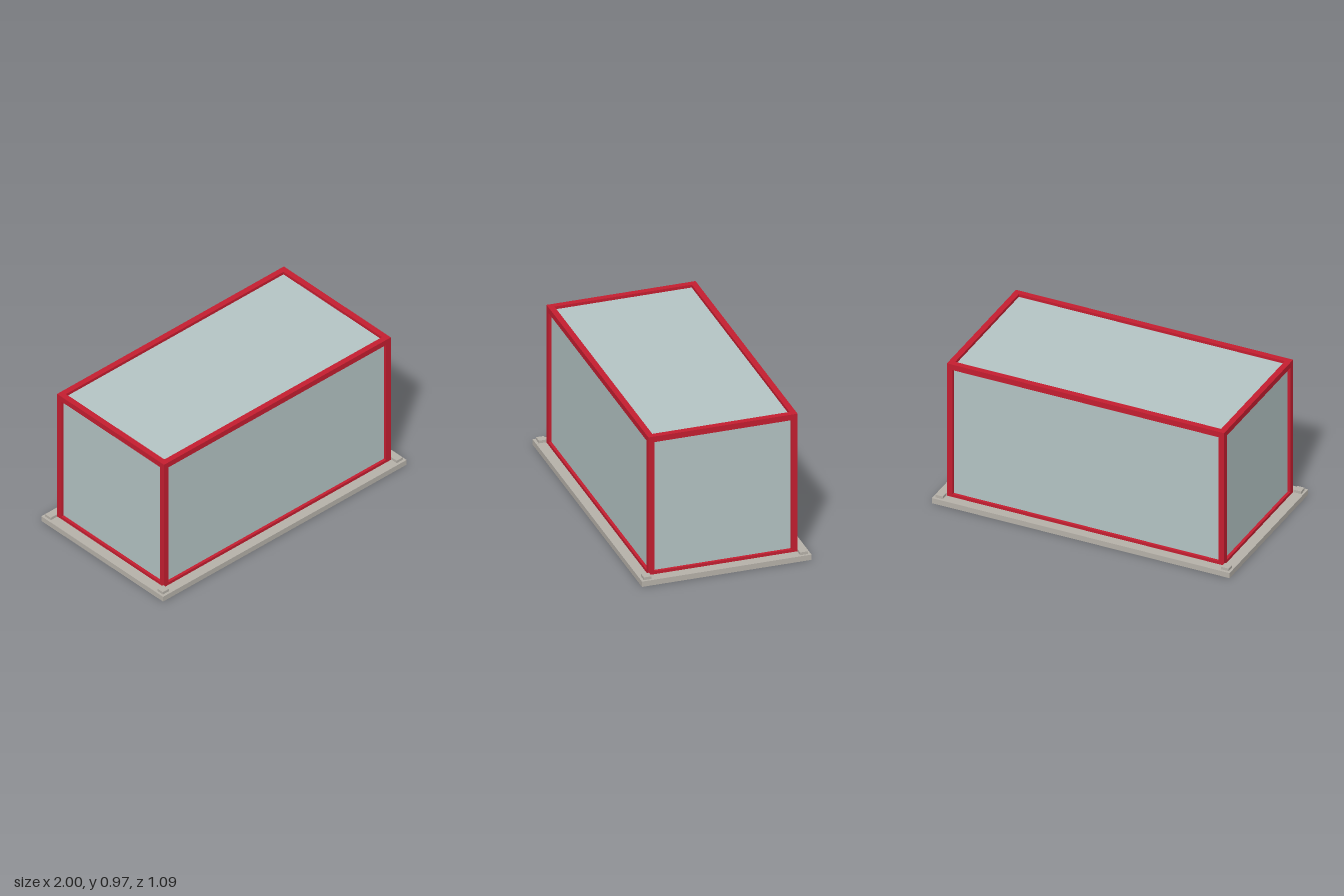
import * as THREE from 'three';

export function createModel() {
  const model = new THREE.Group();
  model.name = 'framedCase';

  const red = new THREE.MeshStandardMaterial({ name: 'red frame', color: 0xc41e30 });
  const panel = new THREE.MeshStandardMaterial({ name: 'pale grey green panel', color: 0xb4c4c4 });
  const stone = new THREE.MeshStandardMaterial({ name: 'warm grey base', color: 0xb6b1a9 });

  const box = (name, material, [w, h, d], [x, y, z], parent = model) => {
    const mesh = new THREE.Mesh(new THREE.BoxGeometry(w, h, d), material);
    mesh.name = name;
    mesh.position.set(x, y, z);
    parent.add(mesh);
  };

  // Key dimensions: beams are centred on the edges of the panelled body
  const X = 0.912, Z = 0.458, bottom = 0.036, top = 0.951, beam = 0.038;
  const middle = (bottom + top) / 2;

  // Base slab
  box('baseSlab', stone, [2, 0.036, 1.085], [0, 0.018, 0]);

  // Panelled body, recessed half a beam behind the frame
  box('panelBody', panel, [2 * X, top - bottom, 2 * Z], [0, middle, 0]);

  // Frame and base corner blocks
  const frame = new THREE.Group();
  frame.name = 'frame';
  model.add(frame);
  for (const s of [-1, 1]) {
    for (const t of [-1, 1]) {
      // Corner posts fit between the upper and lower rails
      box('cornerPost', red, [beam, top - bottom - beam, beam], [s * X, middle, t * Z], frame);
      box('cornerBlock', stone, [0.05, 0.018, 0.05], [s * 0.96, 0.045, t * 0.5]);
    }
    // Upper rails are full beams; lower rails sit on the slab
    for (const [y, h] of [[top, beam], [bottom + beam / 4, beam / 2]]) {
      box('longRail', red, [2 * X + beam, h, beam], [0, y, s * Z], frame);
      box('shortRail', red, [beam, h, 2 * Z - beam], [s * X, y, 0], frame);
    }
  }

  return model;
}
